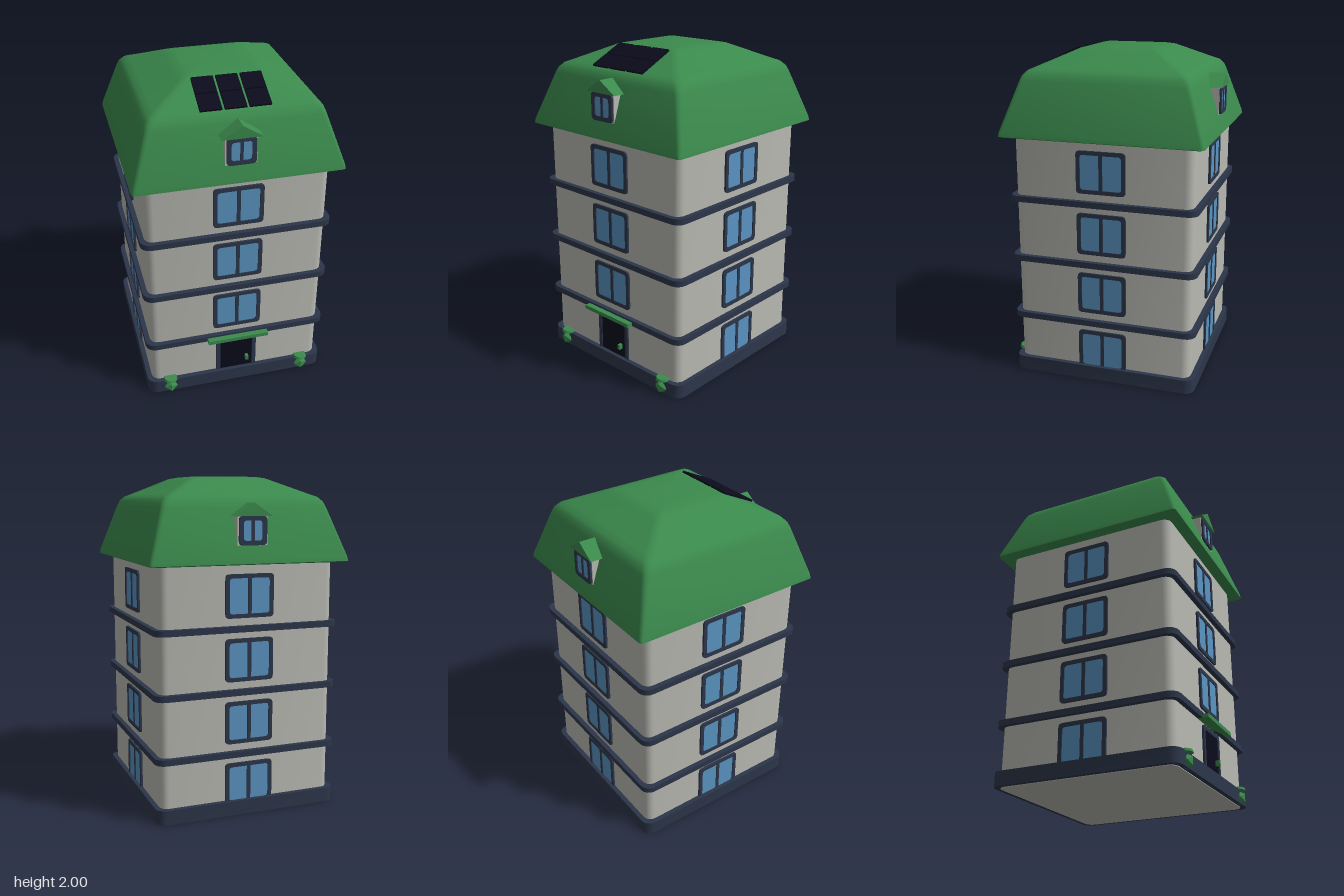
import * as THREE from 'three';
import { toCreasedNormals } from 'three/addons/utils/BufferGeometryUtils.js';

const mat = (name, color) => Object.assign(new THREE.MeshStandardMaterial({ color }), { name });

export function createModel() {
  const wall = mat('wall grey', 0xb9b9b3);
  const green = mat('roof green', 0x3b8a4d);
  const navy = mat('trim navy', 0x2c364a);
  const glass = mat('glass blue', 0x5a94c2);
  const black = mat('panel black', 0x0b0b1c);

  const model = new THREE.Group();
  model.name = 'towerHouse';

  const add = (parent, name, geometry, material, x = 0, y = 0, z = 0) => {
    const mesh = new THREE.Mesh(geometry, material);
    mesh.name = name;
    mesh.position.set(x, y, z);
    parent.add(mesh);
    return mesh;
  };
  const box = (w, h, d) => new THREE.BoxGeometry(w, h, d);

  // Stack of rounded squares, each ring given as [half width, height, corner radius]
  function loft(rings, seg = 4) {
    const pos = [], idx = [], n = 4 * (seg + 1);
    for (const [half, y, r] of rings) {
      for (let q = 0; q < 4; q++) {
        const mid = (q + 0.5) * Math.PI / 2;
        const cx = Math.sign(Math.cos(mid)) * (half - r), cz = Math.sign(Math.sin(mid)) * (half - r);
        for (let s = 0; s <= seg; s++) {
          const a = (q + s / seg) * Math.PI / 2;
          pos.push(cx + r * Math.cos(a), y, cz + r * Math.sin(a));
        }
      }
    }
    const last = rings.length - 1, bottom = pos.length / 3, top = bottom + 1;
    pos.push(0, rings[0][1], 0, 0, rings[last][1], 0);
    for (let i = 0; i < n; i++) {
      const k = (i + 1) % n;
      for (let j = 0; j < last; j++) {
        const a = j * n + i, b = j * n + k;
        idx.push(a, a + n, b, b, a + n, b + n);
      }
      idx.push(bottom, i, k, top, last * n + k, last * n + i);
    }
    const g = new THREE.BufferGeometry();
    g.setAttribute('position', new THREE.Float32BufferAttribute(pos, 3));
    g.setIndex(idx);
    return toCreasedNormals(g, 0.6);
  }
  const slab = (half, y0, y1, r) => loft([[half, y0, r], [half, y1, r]]);

  function roundedRect(path, w, h, r) {
    const x = w / 2, y = h / 2;
    path.moveTo(-x + r, -y);
    path.lineTo(x - r, -y);
    path.quadraticCurveTo(x, -y, x, -y + r);
    path.lineTo(x, y - r);
    path.quadraticCurveTo(x, y, x - r, y);
    path.lineTo(-x + r, y);
    path.quadraticCurveTo(-x, y, -x, y - r);
    path.lineTo(-x, -y + r);
    path.quadraticCurveTo(-x, -y, -x + r, -y);
    return path;
  }

  // Rounded frame with a recessed pane; its back lies at z = 0
  function framed(name, w, h, border, paneMaterial, mullion) {
    const group = new THREE.Group();
    group.name = name;
    const shape = roundedRect(new THREE.Shape(), w, h, 0.025);
    shape.holes.push(roundedRect(new THREE.Path(), w - 2 * border, h - 2 * border, 0.02));
    add(group, 'frame', new THREE.ExtrudeGeometry(shape, { depth: 0.02, bevelEnabled: false, curveSegments: 4 }), navy);
    add(group, 'pane', box(w - border, h - border, 0.008), paneMaterial, 0, 0, 0.01);
    if (mullion) add(group, 'mullion', box(mullion, h - border, 0.018), navy, 0, 0, 0.01);
    return group;
  }

  // Walls, plinth and storey bands
  add(model, 'walls', slab(0.545, 0, 1.53, 0.05), wall);
  add(model, 'plinth', slab(0.575, 0.003, 0.09, 0.06), navy);
  for (let i = 0; i < 3; i++) {
    add(model, 'storeyBand', slab(0.575, 0.36 + i * 0.375, 0.396 + i * 0.375, 0.06), navy);
  }

  // Windows on four sides; the front ground floor holds the door
  for (let side = 0; side < 4; side++) {
    const face = new THREE.Group();
    face.name = 'windowColumn';
    face.rotation.y = side * Math.PI / 2;
    for (let floor = side === 0 ? 1 : 0; floor < 4; floor++) {
      const win = framed('window', 0.3, 0.255, 0.024, glass, 0.022);
      win.position.set(0, 0.193 + floor * 0.375, 0.537);
      face.add(win);
    }
    model.add(face);
  }

  // Entrance
  const door = framed('door', 0.26, 0.29, 0.025, black, 0);
  door.position.set(0, 0.202, 0.537);
  model.add(door);
  add(model, 'doorHandle', box(0.018, 0.032, 0.03), green, 0.068, 0.165, 0.562);
  add(model, 'doorCanopy', box(0.385, 0.024, 0.08), green, 0, 0.372, 0.571);

  // Mansard roof
  add(model, 'roof', loft([
    [0.6, 1.5, 0.02], [0.614, 1.506, 0.02], [0.611, 1.53, 0.022], [0.515, 1.82, 0.03],
    [0.502, 1.853, 0.035], [0.478, 1.88, 0.04], [0.44, 1.897, 0.04], [0.275, 1.975, 0.035],
    [0.24, 1.991, 0.03], [0.195, 2, 0.025],
  ]), green);

  // Solar panels on the front slope
  const solar = new THREE.Group();
  solar.name = 'solarPanels';
  solar.position.set(0, 1.943, 0.36);
  solar.rotation.x = 0.444;
  for (let c = -1; c <= 1; c++) {
    for (const r of [-1, 1]) add(solar, 'solarPanel', box(0.125, 0.012, 0.118), black, c * 0.14, 0, r * 0.062);
  }
  model.add(solar);

  // Dormers, front and back
  const gable = new THREE.Shape([[-0.118, 1.773], [0.118, 1.773], [0, 1.848]].map(p => new THREE.Vector2(...p)));
  for (const turn of [0, Math.PI]) {
    const dormer = new THREE.Group();
    dormer.name = 'dormer';
    dormer.rotation.y = turn;
    add(dormer, 'dormerWall', box(0.184, 0.17, 0.14), wall, 0, 1.693, 0.515);
    add(dormer, 'dormerRoof', new THREE.ExtrudeGeometry(gable, { depth: 0.16, bevelEnabled: false }), green, 0, 0, 0.445);
    const win = framed('dormerWindow', 0.17, 0.165, 0.026, glass, 0.018);
    win.position.set(0, 1.692, 0.577);
    dormer.add(win);
    model.add(dormer);
  }

  // Small shrubs beside the entrance
  for (const s of [-1, 1]) {
    add(model, 'shrub', new THREE.IcosahedronGeometry(0.047, 0), green, s * 0.435, 0.042, 0.56);
    add(model, 'shrubTop', new THREE.CylinderGeometry(0.04, 0.045, 0.016, 10), green, s * 0.435, 0.096, 0.56);
  }

  return model;
}
